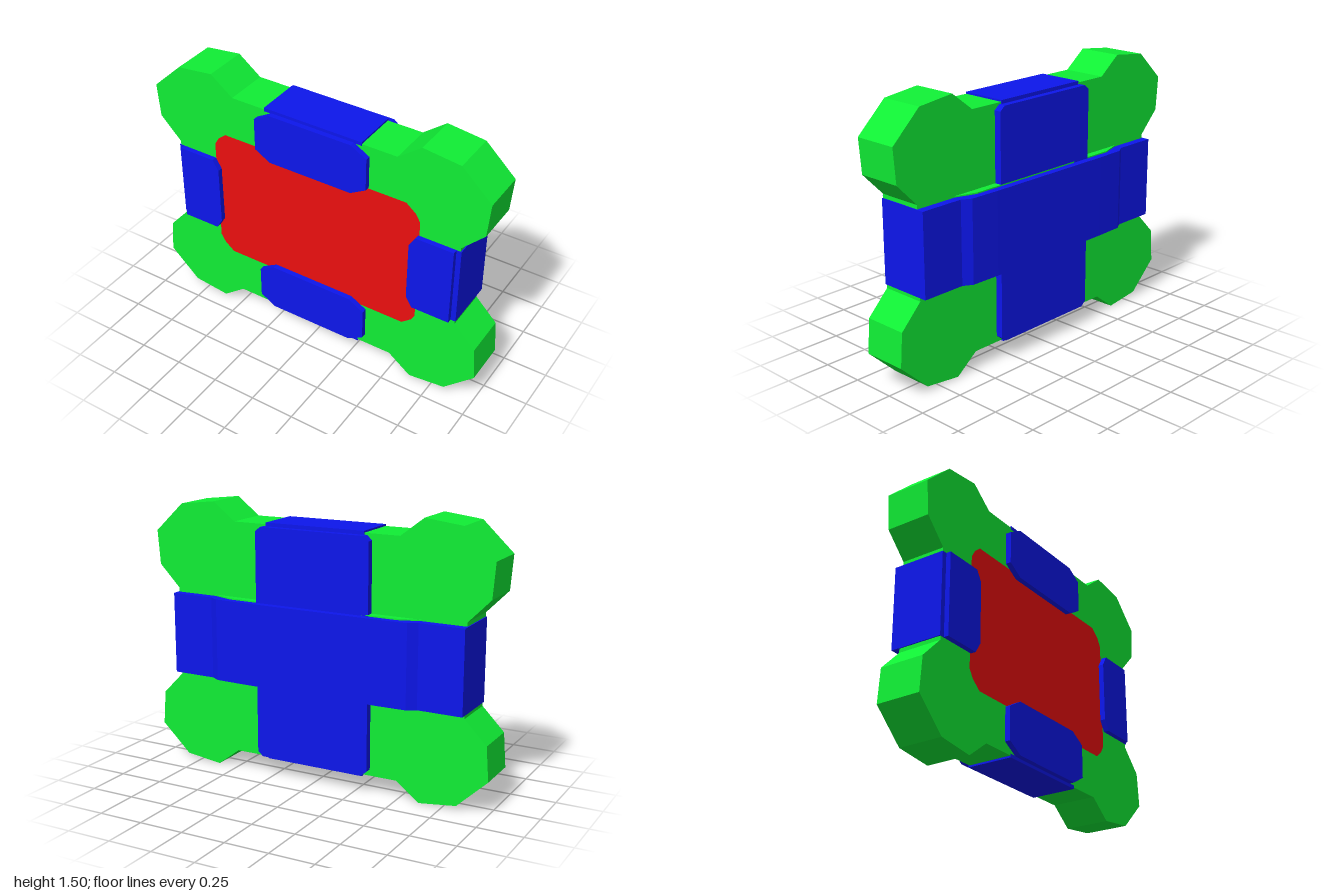
import * as THREE from 'three';

const material = (color) => new THREE.MeshStandardMaterial({ color, flatShading: true });

// Mirror a top-right quarter outline (ordered from the top centre to the right) into a full closed outline
function symmetric(quarter) {
  const flip = (sx, sy) => quarter.map(([x, y]) => [x * sx, y * sy]);
  return [
    ...flip(1, 1), ...flip(1, -1).reverse(),
    ...flip(-1, -1), ...flip(-1, 1).reverse(),
  ];
}

const vectors = (points) => points.map(([x, y]) => new THREE.Vector2(x, y));

// Plate in the xy plane between two z values, optionally with an opening
function plate(name, points, z0, z1, mat, hole) {
  const shape = new THREE.Shape(vectors(points));
  if (hole) shape.holes.push(new THREE.Path(vectors(hole)));
  const geometry = new THREE.ExtrudeGeometry(shape, { depth: z1 - z0, bevelEnabled: false });
  geometry.translate(0, 0, z0);
  const mesh = new THREE.Mesh(geometry, mat);
  mesh.name = name;
  return mesh;
}

// Profile in x and backward depth, swept symmetrically along y
function band(name, points, halfHeight, mat) {
  const geometry = new THREE.ExtrudeGeometry(new THREE.Shape(vectors(points)), {
    depth: halfHeight * 2, bevelEnabled: false,
  });
  geometry.rotateX(-Math.PI / 2);
  geometry.translate(0, -halfHeight, 0);
  const mesh = new THREE.Mesh(geometry, mat);
  mesh.name = name;
  return mesh;
}

function box(name, w, h, d, x, y, z, mat) {
  const mesh = new THREE.Mesh(new THREE.BoxGeometry(w, h, d), mat);
  mesh.position.set(x, y, z);
  mesh.name = name;
  return mesh;
}

export function createModel() {
  const green = material(0x10ee35);
  const blue = material(0x0d16ec);
  const red = material(0xec0f0f);
  const model = new THREE.Group();
  model.name = 'strappedFrame';
  model.position.y = 0.75;

  // Body with flared corners, and a shallow rim around the recessed panel
  const outline = symmetric([
    [0.49, 0.65], [0.62, 0.75], [0.83, 0.725], [1, 0.565], [0.985, 0.375], [0.862, 0.25],
  ]);
  const opening = symmetric([[0.55, 0.4], [0.605, 0.355], [0.632, 0.31], [0.632, 0.23]]);
  model.add(plate('body', outline, -0.1, 0.135, green));
  model.add(plate('frontRim', outline, 0.135, 0.15, green, opening));
  model.add(plate('frontPanel', opening, 0.13, 0.138, red));

  // Raised ridge on the back, under the wide strap
  model.add(band('backRidge', [[-0.62, 0.09], [0.62, 0.09], [0.62, 0.1], [0.5, 0.14],
    [-0.5, 0.14], [-0.62, 0.1]], 0.235, green));

  // Wide strap: back band stepping over the ridge
  model.add(band('wideStrapBack', [
    [-0.868, 0.095], [0.868, 0.095], [0.868, 0.145], [0.62, 0.145], [0.57, 0.175], [0.4, 0.18],
    [-0.4, 0.18], [-0.57, 0.175], [-0.62, 0.145], [-0.868, 0.145],
  ], 0.228, blue));

  // Wide strap: side wraps and front tabs with clipped inner corners
  for (const s of [1, -1]) {
    const side = s > 0 ? 'left' : 'right';
    model.add(box(side + 'SideWrap', 0.02, 0.456, 0.25, s * 0.858, 0, 0.025, blue));
    const tab = [[0.84, 0.228], [0.625, 0.228], [0.59, 0.17],
      [0.59, -0.17], [0.625, -0.228], [0.84, -0.228]];
    model.add(plate(side + 'FrontTab', tab.map(([x, y]) => [s * x, y]), 0.15, 0.18, blue));
    // Folded edge between side wrap and tab
    model.add(box(side + 'Fold', 0.028, 0.456, 0.01, s * 0.854, 0, 0.148, blue));
  }

  // Upright strap: back plate with lightly clipped corners
  model.add(plate('uprightStrapBack',
    symmetric([[0.305, 0.64], [0.335, 0.615]]), -0.14, -0.098, blue));

  // Upright strap: end wraps and eight-sided front tabs
  for (const s of [1, -1]) {
    const end = s > 0 ? 'top' : 'bottom';
    model.add(box(end + 'EndWrap', 0.58, 0.02, 0.256, 0, s * 0.65, 0.023, blue));
    const tab = symmetric([[0.245, 0.144], [0.335, 0.092]]);
    const mesh = plate(end + 'FrontTab', tab, 0.15, 0.18, blue);
    mesh.position.y = s * 0.499;
    model.add(mesh);
  }

  const root = new THREE.Group();
  root.name = 'model';
  root.add(model);
  return root;
}
